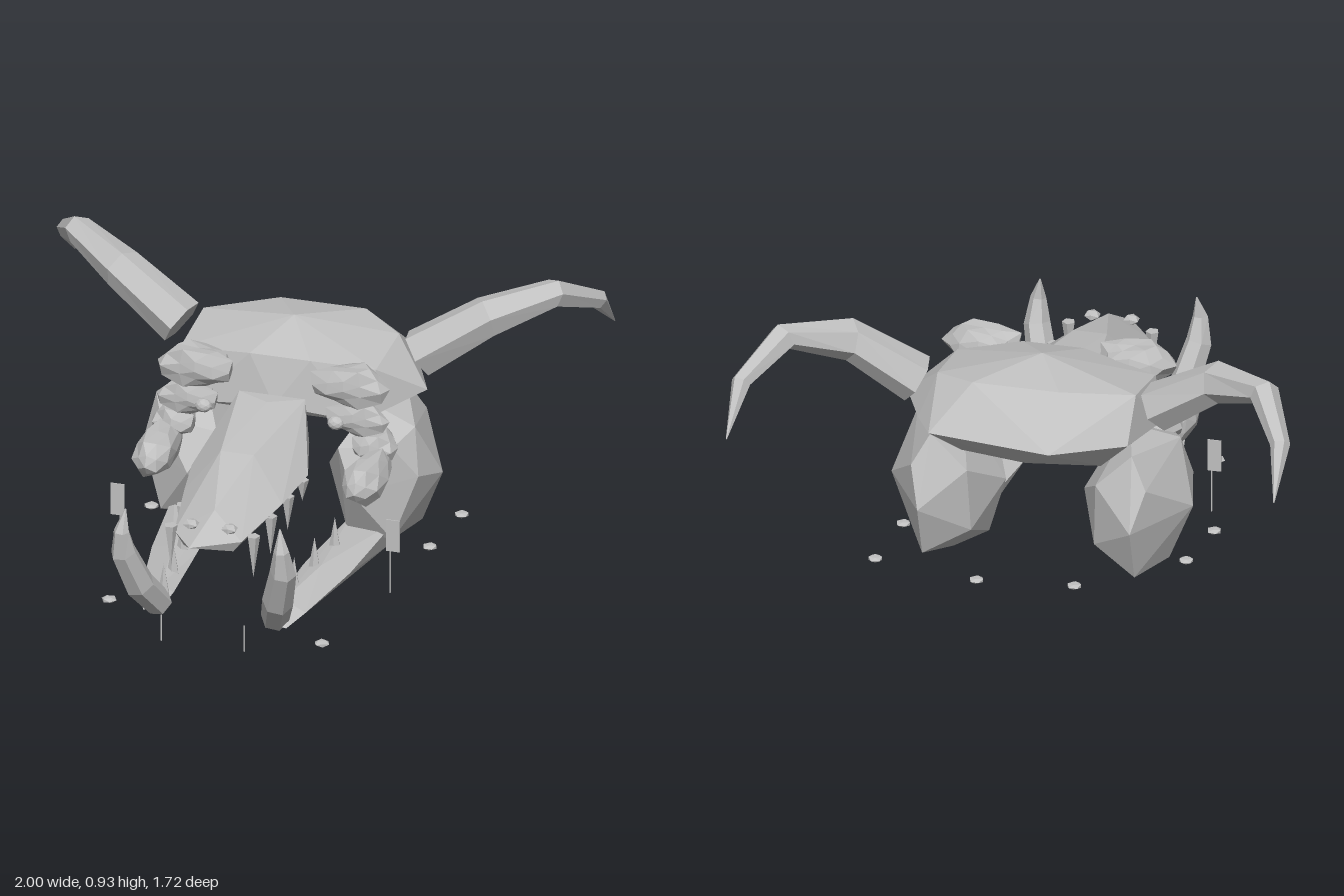
import * as THREE from 'three';
import { ConvexGeometry } from 'three/addons/geometries/ConvexGeometry.js';

const bone = new THREE.MeshStandardMaterial({ color: 0xc0c0c0, flatShading: true });
bone.name = 'bone grey';

export function createModel() {
  const model = new THREE.Group();
  model.name = 'hornedSkull';
  const vec = (p, s = 1) => new THREE.Vector3(p[0] * s, p[1], p[2]);

  const add = (name, geometry, pos) => {
    const mesh = new THREE.Mesh(geometry, bone);
    mesh.name = name;
    if (pos) mesh.position.set(...pos);
    model.add(mesh);
    return mesh;
  };

  // Faceted solid spanned by a few corner points, s mirrors it in x
  const hull = (name, pts, s = 1) => add(name, new ConvexGeometry(pts.map(p => vec(p, s))));

  // Irregular faceted lump: an icosahedron with its corners pushed in or out
  const lump = (name, pos, size, s, rough = 0.15) => {
    const g = new THREE.IcosahedronGeometry(1, 1);
    const p = g.attributes.position, v = new THREE.Vector3();
    for (let i = 0; i < p.count; i++) {
      v.fromBufferAttribute(p, i);
      const k = 1 - rough + rough * Math.sin(s * v.x * 7 + v.y * 11 + v.z * 5);
      p.setXYZ(i, v.x * k * size[0], v.y * k * size[1], v.z * k * size[2]);
    }
    g.computeVertexNormals();
    return add(name, g, [pos[0] * s, pos[1], pos[2]]);
  };

  // Tapering tube through the given points; the first ring closes the base
  const taper = (name, pts, radii, s, sides = 6) => {
    const path = pts.map(p => vec(p, s));
    const g = new THREE.TubeGeometry(new THREE.CatmullRomCurve3(path), path.length, 1, sides);
    const p = g.attributes.position, n = g.attributes.normal;
    for (let i = 0; i < p.count; i++) {
      const ring = Math.floor(i / (sides + 1)), k = Math.max(ring - 1, 0);
      const r = ring === 0 ? 0 : radii[k], c = path[k];
      p.setXYZ(i, c.x + n.getX(i) * r, c.y + n.getY(i) * r, c.z + n.getZ(i) * r);
    }
    const flat = g.toNonIndexed();
    flat.computeVertexNormals();
    return add(name, flat);
  };

  // Cranium with a wide temple on each side
  hull('cranium', [
    [-0.12, 0.62, -0.65], [0.33, 0.61, -0.57], [-0.36, 0.6, -0.48], [0.4, 0.6, -0.44],
    [0, 0.81, -0.26], [-0.11, 0.77, -0.46], [0.2, 0.77, -0.46], [-0.36, 0.74, -0.36], [0.35, 0.74, -0.36],
    [-0.37, 0.7, -0.12], [0.34, 0.71, -0.12], [-0.1, 0.74, -0.06], [0.12, 0.74, -0.06],
    [-0.42, 0.57, -0.2], [0.49, 0.6, -0.24], [-0.3, 0.53, -0.06], [0.3, 0.53, -0.06],
    [-0.25, 0.48, -0.42], [0.25, 0.48, -0.42], [0, 0.5, -0.5], [0, 0.57, -0.02]
  ]);

  // Long upper snout, widest at mid length, narrowing to a blunt tip
  hull('snout', [
    [-0.12, 0.62, 0], [0.12, 0.62, 0], [0, 0.62, 0.06], [-0.07, 0.57, 0.38], [0.05, 0.57, 0.38],
    [-0.15, 0.48, 0.05], [0.15, 0.48, 0.05], [-0.2, 0.46, 0.3], [0.21, 0.46, 0.26], [-0.18, 0.44, 0.45], [0.18, 0.44, 0.47],
    [-0.14, 0.4, 0.7], [0.11, 0.4, 0.72], [0, 0.49, 0.68], [-0.05, 0.4, 0.82],
    [-0.1, 0.36, 0.72], [0.08, 0.36, 0.72], [-0.12, 0.42, 0.25], [0.12, 0.42, 0.25], [0, 0.47, 0]
  ]);

  for (const s of [1, -1]) {
    // Heavy rear jaw joint
    hull('jawJoint', [
      [0.3, 0.29, 0.03], [0.22, 0.42, -0.06], [0.42, 0.45, -0.05], [0.25, 0.11, -0.07], [0.42, 0.1, -0.05],
      [0.3, 0.54, -0.2], [0.47, 0.49, -0.16], [0.36, 0.53, -0.42], [0.42, 0.42, -0.46],
      [0.54, 0.28, -0.26], [0.5, 0.33, -0.1], [0.38, 0.28, -0.53], [0.46, 0.08, -0.28], [0.38, 0.08, -0.46],
      [0.32, 0.01, -0.25], [0.2, 0.07, -0.22], [0.14, 0.28, -0.22], [0.23, 0.4, -0.42], [0.22, 0.16, -0.4]
    ], s);

    // Slim lower jaw
    hull('lowerJaw', [
      [0.24, 0.12, -0.15], [0.4, 0.12, -0.15], [0.26, 0.04, -0.15], [0.38, 0.03, -0.15],
      [0.19, 0.11, 0.25], [0.36, 0.1, 0.25], [0.27, 0.14, 0.3], [0.27, 0.015, 0.25],
      [0.18, 0.1, 0.58], [0.3, 0.09, 0.58], [0.22, 0.13, 0.58], [0.24, 0.035, 0.52],
      [0.2, 0.08, 0.68], [0.26, 0.07, 0.68]
    ], s);

    taper('frontTusk', [[0.21, 0.09, 0.65], [0.25, 0.2, 0.75], [0.29, 0.35, 0.815], [0.29, 0.44, 0.835], [0.28, 0.52, 0.82]],
      [0.05, 0.055, 0.047, 0.028, 0.002], s);

    taper('horn', [[0.43, 0.69, -0.33], [0.66, 0.84, -0.38], [0.86, 0.895, -0.52], [0.965, 0.8, -0.71], [0.98, 0.65, -0.86]],
      [0.088, 0.075, 0.052, 0.035, 0.002], s);

    // Cheekbone, brow ridge and eye socket
    lump('cheekbone', [0.38, 0.41, 0.11], [0.08, 0.085, 0.2], s, 0.1);
    lump('cheekbone', [0.36, 0.46, -0.04], [0.09, 0.07, 0.1], s);
    lump('browRidge', [0.27, 0.69, -0.02], [0.16, 0.09, 0.09], s);
    lump('socketRim', [0.3, 0.57, -0.01], [0.13, 0.07, 0.06], s);
    lump('eye', [0.24, 0.56, 0.03], [0.03, 0.025, 0.025], s, 0);

    // Nostril
    const nostril = add('nostril', new THREE.IcosahedronGeometry(0.03, 0), [0.07 * s, 0.45, 0.73]);
    nostril.scale.y = 0.6;

    // Upper and lower teeth
    for (let i = 0; i < 4; i++) {
      const h = [0.16, 0.15, 0.13, 0.08][i];
      const fang = add('upperTooth', new THREE.ConeGeometry(0.024, h, 5), [(0.15 + 0.01 * i) * s, 0.425 - h / 2, [0.71, 0.54, 0.37, 0.23][i]]);
      fang.rotation.x = Math.PI;
      add('lowerTooth', new THREE.ConeGeometry(0.024, 0.13, 5), [(0.2 + 0.02 * i) * s, 0.17, 0.63 - 0.175 * i]);
    }

    // Hanging plate with its thread, and a loose thread at the front
    add('hangingPlate', new THREE.BoxGeometry(0.05, 0.12, 0.004), [0.5 * s, 0.24, 0.2]);
    add('thread', new THREE.BoxGeometry(0.004, 0.28, 0.004), [0.49 * s, 0.16, 0.2]);
    add('thread', new THREE.BoxGeometry(0.004, 0.1, 0.004), [0.15 * s, 0.08, 0.82]);
  }

  // Small flat stones around the base
  const stones = [[-0.54, 0.04], [-0.42, 0.56], [0.39, 0.68], [0.55, -0.45], [0.52, -0.17], [-0.5, -0.2], [-0.17, -0.48], [0.17, -0.52]];
  for (const [x, z] of stones) {
    const stone = add('stone', new THREE.IcosahedronGeometry(0.028, 0), [x, 0.032, z]);
    stone.scale.y = 0.4;
    stone.rotation.y = x * 9;
  }
  return model;
}
